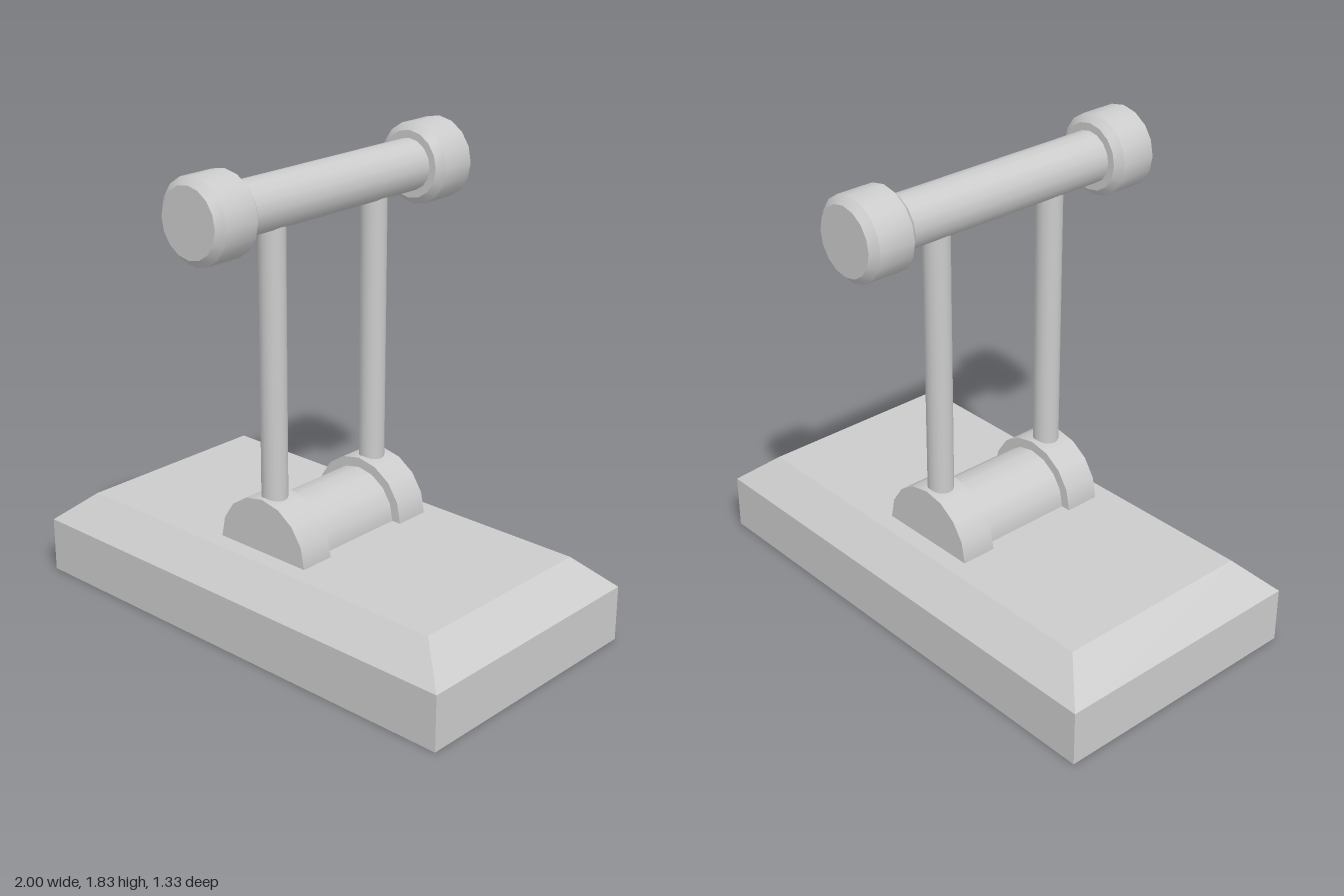
import * as THREE from 'three';
import { toCreasedNormals } from 'three/addons/utils/BufferGeometryUtils.js';

const SIDES = 16;
const material = new THREE.MeshStandardMaterial({ color: 0xcccccc });
const shellMaterial = new THREE.MeshStandardMaterial({ color: 0xcccccc, side: THREE.DoubleSide });

function addMesh(parent, name, geometry, x = 0, y = 0, z = 0, mat = material) {
  const mesh = new THREE.Mesh(geometry, mat);
  mesh.name = name;
  mesh.position.set(x, y, z);
  parent.add(mesh);
  return mesh;
}

// Cylinder lying along z
const axle = (radius, length) =>
  new THREE.CylinderGeometry(radius, radius, length, SIDES).rotateX(Math.PI / 2);

// Thin hollow plinth, open underneath: rectangular rings joined upwards, then a lid
function plinthGeometry() {
  const rings = [[1, 0, 0.53], [1, 0.22, 0.53], [0.86, 0.34, 0.41]].map(([x, y, z]) =>
    [[x, y, z], [x, y, -z], [-x, y, -z], [-x, y, z]]);
  const positions = [];
  const quad = (a, b, c, d) => positions.push(...a, ...b, ...c, ...a, ...c, ...d);
  for (let r = 0; r < 2; r++) {
    for (let i = 0; i < 4; i++) {
      const j = (i + 1) % 4;
      quad(rings[r][i], rings[r][j], rings[r + 1][j], rings[r + 1][i]);
    }
  }
  quad(...rings[2]);
  const geometry = new THREE.BufferGeometry();
  geometry.setAttribute('position', new THREE.Float32BufferAttribute(positions, 3));
  geometry.computeVertexNormals();
  return geometry;
}

// Chamfered end knob, centred on its own middle, lying along z
function knobGeometry() {
  const profile = [[0, -0.1], [0.13, -0.1], [0.158, -0.073], [0.158, 0.073], [0.13, 0.1], [0, 0.1]]
    .map(([r, y]) => new THREE.Vector2(r, y));
  const lathe = new THREE.LatheGeometry(profile, SIDES).rotateX(Math.PI / 2);
  return toCreasedNormals(lathe, 0.55);
}

export function createModel() {
  const model = new THREE.Group();
  model.name = 'leverOnPlinth';

  addMesh(model, 'plinth', plinthGeometry(), 0, 0, 0, shellMaterial);

  // Pivot drum, half sunk through the plinth lid
  addMesh(model, 'pivotDrum', axle(0.175, 0.4), 0, 0.34, 0);

  // Handle bar across the top
  addMesh(model, 'handleBar', axle(0.1, 0.98), 0, 1.672, 0);

  // Collar, post and knob at each end
  const knob = knobGeometry();
  for (const [side, s] of [['front', 1], ['back', -1]]) {
    addMesh(model, side + 'PivotCollar', axle(0.214, 0.143), 0, 0.34, s * 0.268);
    addMesh(model, side + 'Post', new THREE.CylinderGeometry(0.05, 0.05, 1.1, SIDES), 0, 1.07, s * 0.27);
    addMesh(model, side + 'Knob', knob, 0, 1.672, s * 0.567);
  }
  return model;
}
